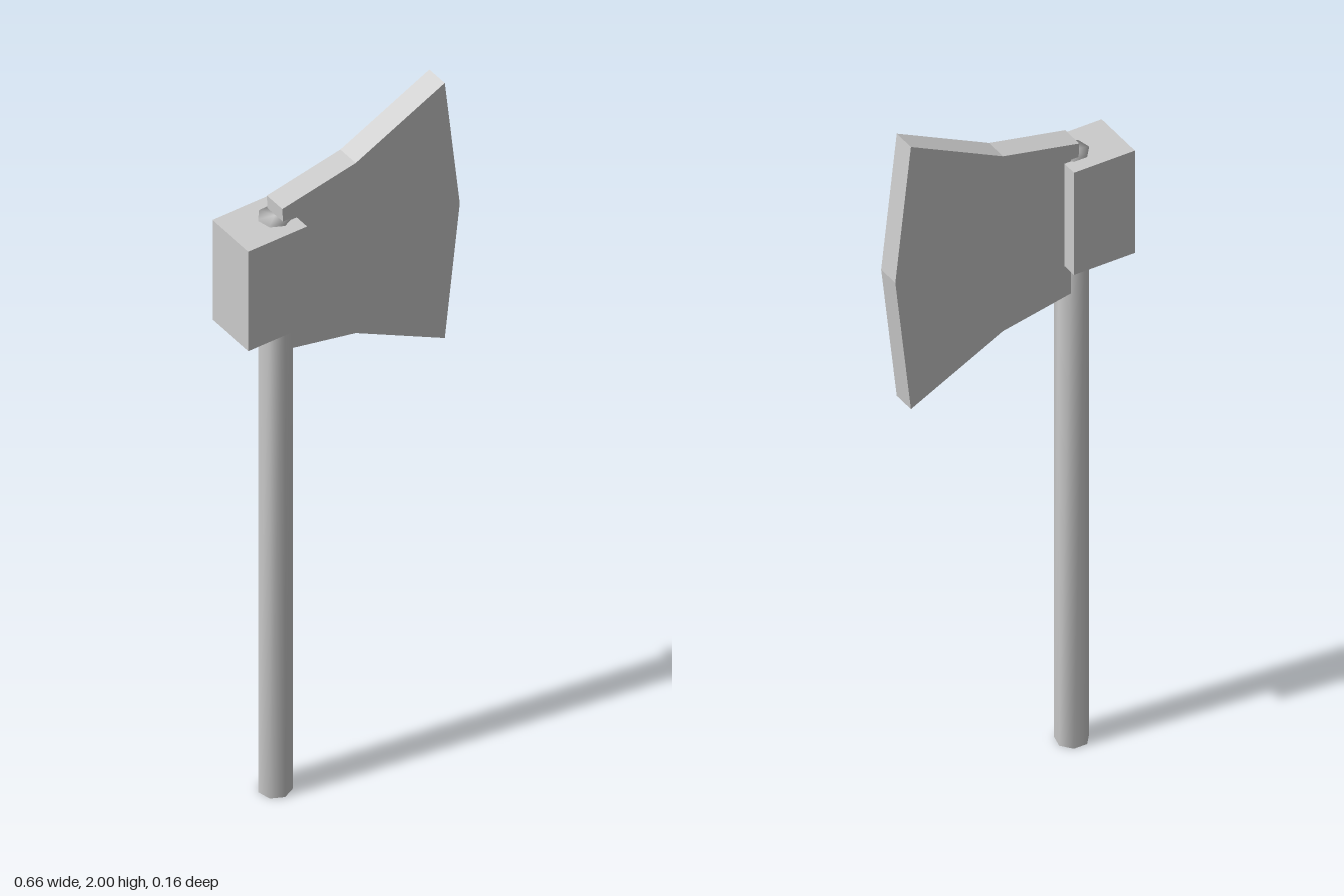
import * as THREE from 'three';
import { mergeVertices } from 'three/addons/utils/BufferGeometryUtils.js';

const material = (flatShading) => new THREE.MeshStandardMaterial({ color: 0xcccccc, flatShading });

function addPart(group, name, geometry, flat, x = 0, y = 0, z = 0) {
  const mesh = new THREE.Mesh(geometry, material(flat));
  mesh.name = name;
  mesh.position.set(x, y, z);
  group.add(mesh);
}

export function createModel() {
  const axe = new THREE.Group();
  axe.name = 'axe';

  // Seven-sided handle, smooth across its end caps, just poking out of the head
  const height = 1.785;
  let handle = new THREE.CylinderGeometry(0.044, 0.044, height, 7);
  handle.deleteAttribute('normal');
  handle.deleteAttribute('uv');
  handle = mergeVertices(handle);
  handle.computeVertexNormals();
  addPart(axe, 'handle', handle, false, -0.2, height / 2, 0);

  // Block behind the blade
  addPart(axe, 'headBlock', new THREE.BoxGeometry(0.176, 0.31, 0.155), true, -0.245, 1.625, -0.001);

  // Flared blade slab with a blunt, pointed cutting edge
  const outline = [
    [-0.178, 1.38], [0.02, 1.34], [0.287, 1.205], [0.332, 1.605],
    [0.287, 2.0], [0.02, 1.87], [-0.2, 1.825],
  ].map(([x, y]) => new THREE.Vector2(x, y));
  const blade = new THREE.ExtrudeGeometry(new THREE.Shape(outline), { depth: 0.066, bevelEnabled: false });
  addPart(axe, 'blade', blade, true, 0, 0, -0.034);

  return axe;
}
